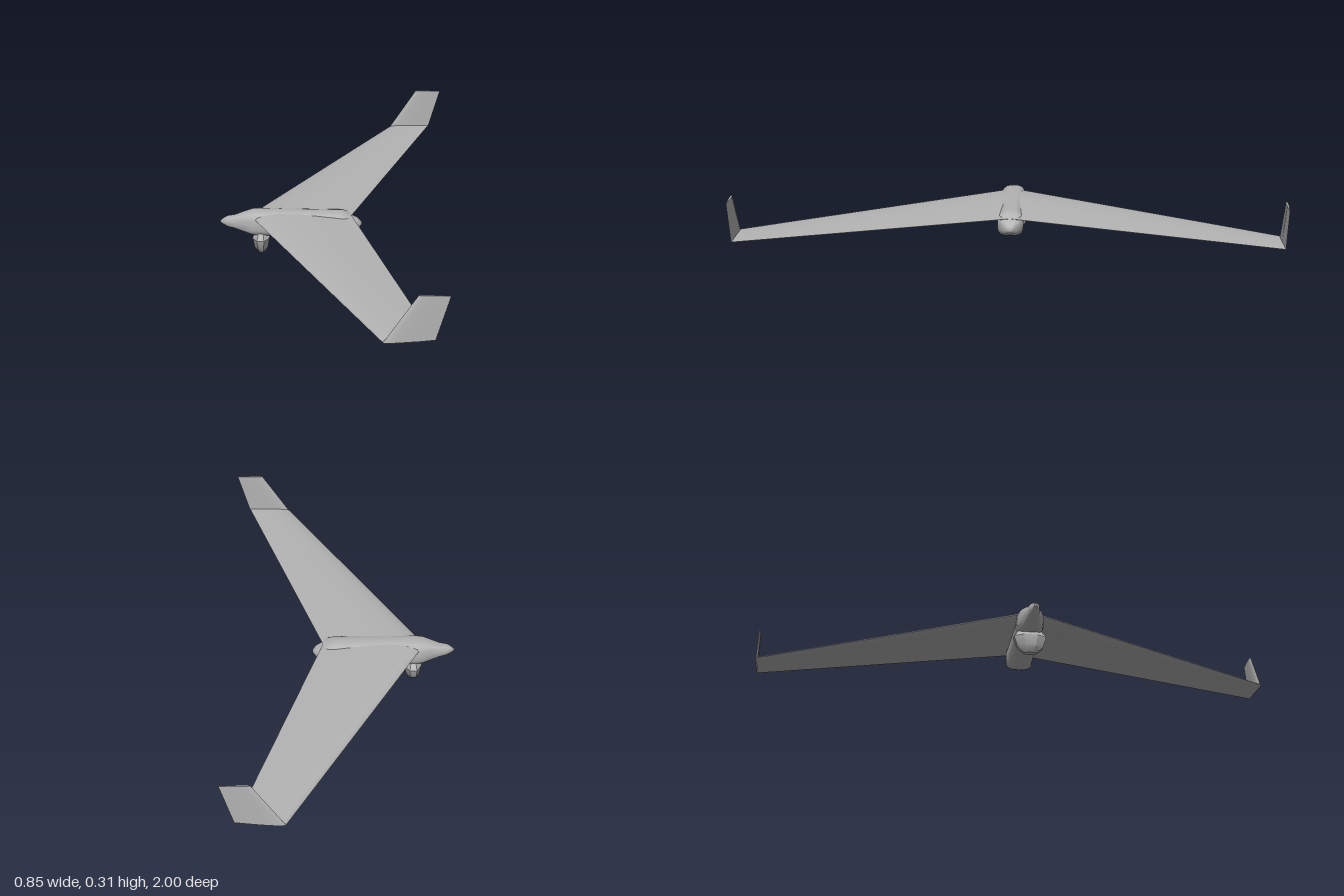
import * as THREE from 'three';
import { mergeVertices, toCreasedNormals } from 'three/addons/utils/BufferGeometryUtils.js';

// Closed skin through a list of equal-length rings of [x, y, z], capped at both ends
function loft(rings, crease) {
  const n = rings[0].length;
  const pts = rings.flat();
  const tris = [];
  for (let r = 0; r < rings.length - 1; r++) {
    for (let i = 0; i < n; i++) {
      const a = r * n + i, b = r * n + (i + 1) % n;
      tris.push([a, b, b + n], [a, b + n, a + n]);
    }
  }
  const last = (rings.length - 1) * n;
  for (let i = 1; i < n - 1; i++) {
    tris.push([0, i + 1, i], [last, last + i, last + i + 1]);
  }
  // Signed volume tells whether the skin faces outward
  const v = pts.map((p) => new THREE.Vector3(...p));
  let volume = 0;
  for (const [a, b, c] of tris) volume += v[a].dot(v[b].clone().cross(v[c]));
  if (volume < 0) tris.forEach((t) => t.reverse());

  const geo = new THREE.BufferGeometry();
  geo.setAttribute('position', new THREE.Float32BufferAttribute(pts.flat(), 3));
  geo.setIndex(tris.flat());
  return toCreasedNormals(mergeVertices(geo), crease);
}

// Airfoil outline as [chord fraction, height fraction], 1 = full upper or lower thickness
const airfoil = [
  [0, 0], [0.02, 0.4], [0.07, 0.7], [0.16, 0.93], [0.3, 1], [0.5, 0.85], [0.75, 0.45], [1, 0.03],
  [1, -0.03], [0.75, -0.45], [0.5, -0.85], [0.3, -1], [0.16, -0.93], [0.07, -0.7], [0.02, -0.4],
];

// Wing section at span z
const wingRing = (z, x0, x1, y0, y1, up, down) => airfoil.map(([c, h]) => [
  x0 + (x1 - x0) * c, y0 + (y1 - y0) * c + h * (h > 0 ? up : down), z,
]);

// Upright winglet section, thickness across z
const finRing = (side, x0, x1, y0, y1, half) => airfoil.map(([c, h]) => [
  x0 + (x1 - x0) * c, y0 + (y1 - y0) * c, side * (0.994 + h * half),
]);

export function createModel() {
  const model = new THREE.Group();
  model.name = 'flyingWingDrone';
  const grey = new THREE.MeshStandardMaterial({ color: 0xb4b4b4 });
  grey.name = 'airframeGrey';
  const add = (name, geo) => {
    const mesh = new THREE.Mesh(geo, grey);
    mesh.name = name;
    model.add(mesh);
    return mesh;
  };

  // Fuselage stations: x, bottom, top, half width
  const stations = [
    [-0.425, 0.119, 0.127, 0.004], [-0.412, 0.111, 0.137, 0.011], [-0.397, 0.104, 0.144, 0.018],
    [-0.37, 0.098, 0.148, 0.023], [-0.335, 0.087, 0.161, 0.034], [-0.305, 0.078, 0.17, 0.045],
    [-0.28, 0.076, 0.172, 0.049], [-0.2, 0.075, 0.172, 0.046], [0, 0.075, 0.171, 0.048],
    [0.035, 0.075, 0.171, 0.05], [0.055, 0.082, 0.167, 0.049], [0.078, 0.094, 0.151, 0.036],
    [0.098, 0.102, 0.144, 0.024], [0.108, 0.113, 0.135, 0.014], [0.115, 0.12, 0.128, 0.005],
  ];
  const soft = (v) => Math.sign(v) * Math.abs(v) ** 0.65;
  const hull = stations.map(([x, y0, y1, w]) => Array.from({ length: 24 }, (_, i) => {
    const a = (i / 24) * Math.PI * 2;
    return [x, (y0 + y1) / 2 + soft(Math.sin(a)) * (y1 - y0) / 2, soft(Math.cos(a)) * w];
  }));
  add('fuselage', loft(hull, 0.8));

  // Swept wings and upright winglets, one pair each side
  for (const side of [1, -1]) {
    const label = side > 0 ? 'left' : 'right';
    add(label + 'Wing', loft([
      wingRing(0, -0.312, 0.075, 0.148, 0.155, 0.019, 0.013),
      wingRing(side * 0.994, 0.206, 0.377, 0.144, 0.155, 0.009, 0.006),
    ], 0.8));
    add(label + 'Winglet', loft([
      finRing(side, 0.207, 0.378, 0.141, 0.155, 0.006),
      finRing(side, 0.32, 0.424, 0.315, 0.315, 0.004),
    ], 0.8));
  }

  // Faceted camera pod under the nose, narrow fore and aft
  const profile = [[0, 0], [0.024, 0.004], [0.05, 0.025], [0.064, 0.066], [0.044, 0.09], [0.018, 0.1], [0, 0.1]];
  const pod = new THREE.LatheGeometry(
    profile.map(([r, y]) => new THREE.Vector2(r, y)), 8, Math.PI / 8);
  pod.scale(0.55, 1, 1);
  pod.translate(-0.269, 0, 0);
  add('cameraPod', toCreasedNormals(pod, 0.6));

  return model;
}
